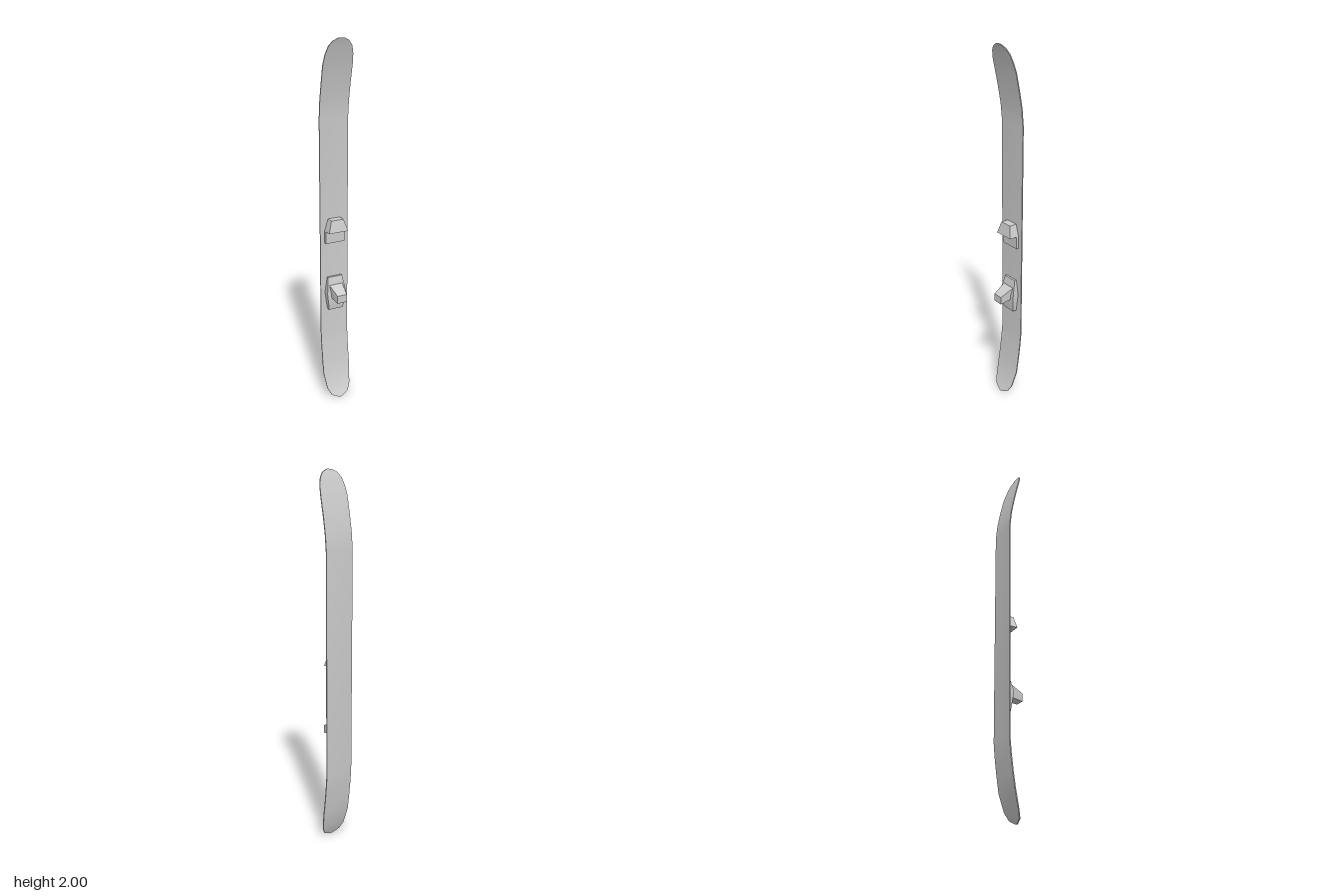
import * as THREE from 'three';
import { toCreasedNormals } from 'three/addons/utils/BufferGeometryUtils.js';

// Skin a list of rings (counter-clockwise seen from the end they run towards), capping both ends.
function loft(rings) {
  const n = rings[0].length, index = [];
  const last = (rings.length - 1) * n;
  for (let r = 0; r < rings.length - 1; r++) {
    for (let i = 0; i < n; i++) {
      const a = r * n + i, b = r * n + (i + 1) % n;
      index.push(a, b, b + n, a, b + n, a + n);
    }
  }
  for (let i = 1; i < n - 1; i++) {
    index.push(0, i + 1, i, last, last + i, last + i + 1);
  }
  const geometry = new THREE.BufferGeometry();
  geometry.setAttribute('position', new THREE.Float32BufferAttribute(rings.flat(2), 3));
  geometry.setIndex(index);
  return toCreasedNormals(geometry, 0.4);
}

// Rectangular cross-section at height y
const section = ([y, halfWidth, back, front]) => [
  [halfWidth, y, front], [halfWidth, y, back], [-halfWidth, y, back], [-halfWidth, y, front],
];

export function createModel() {
  const group = new THREE.Group();
  const material = new THREE.MeshStandardMaterial({ color: 0xcccccc });
  const add = (name, rings) => {
    const mesh = new THREE.Mesh(loft(rings), material);
    mesh.name = name;
    group.add(mesh);
  };

  // Thin board with both ends curving forward: height, half width, back z
  const board = [
    [0, 0.008, 0.028], [0.02, 0.05, 0.019], [0.06, 0.07, 0.002], [0.15, 0.082, -0.022],
    [0.23, 0.082, -0.034], [0.32, 0.082, -0.045], [0.4, 0.082, -0.052],
    [1.6, 0.082, -0.052], [1.69, 0.082, -0.043], [1.78, 0.082, -0.026], [1.87, 0.082, -0.006],
    [1.92, 0.077, 0.009], [1.96, 0.065, 0.021], [1.985, 0.045, 0.03], [2, 0.015, 0.036],
  ];
  add('board', board.map(([y, w, z]) => section([y, w, z, z + 0.006])));

  // Upper binding: flat plate under an overhanging wedge
  const base = -0.047;
  add('toePlate', [[0.93, 0.056, base, -0.032], [1.0, 0.056, base, -0.032]].map(section));
  add('toeWedge', [[1.0, 0.056, base, 0.01], [1.065, 0.036, base, -0.004]].map(section));

  // Lower binding: six-sided plate, thickest in the middle
  add('heelPlate', [
    [0.54, 0.042, base, -0.022], [0.64, 0.057, base, -0.011], [0.73, 0.042, base, -0.034],
  ].map(section));

  // Tapered block standing forward from the lower plate
  const blockFace = (z, bottom, top, wBottom, wTop) => [
    [-wBottom, bottom, z], [wBottom, bottom, z], [wTop, top, z], [-wTop, top, z],
  ];
  add('heelBlock', [
    blockFace(-0.03, 0.62, 0.69, 0.034, 0.04),
    blockFace(0.052, 0.606, 0.65, 0.028, 0.028),
  ]);

  return group;
}
